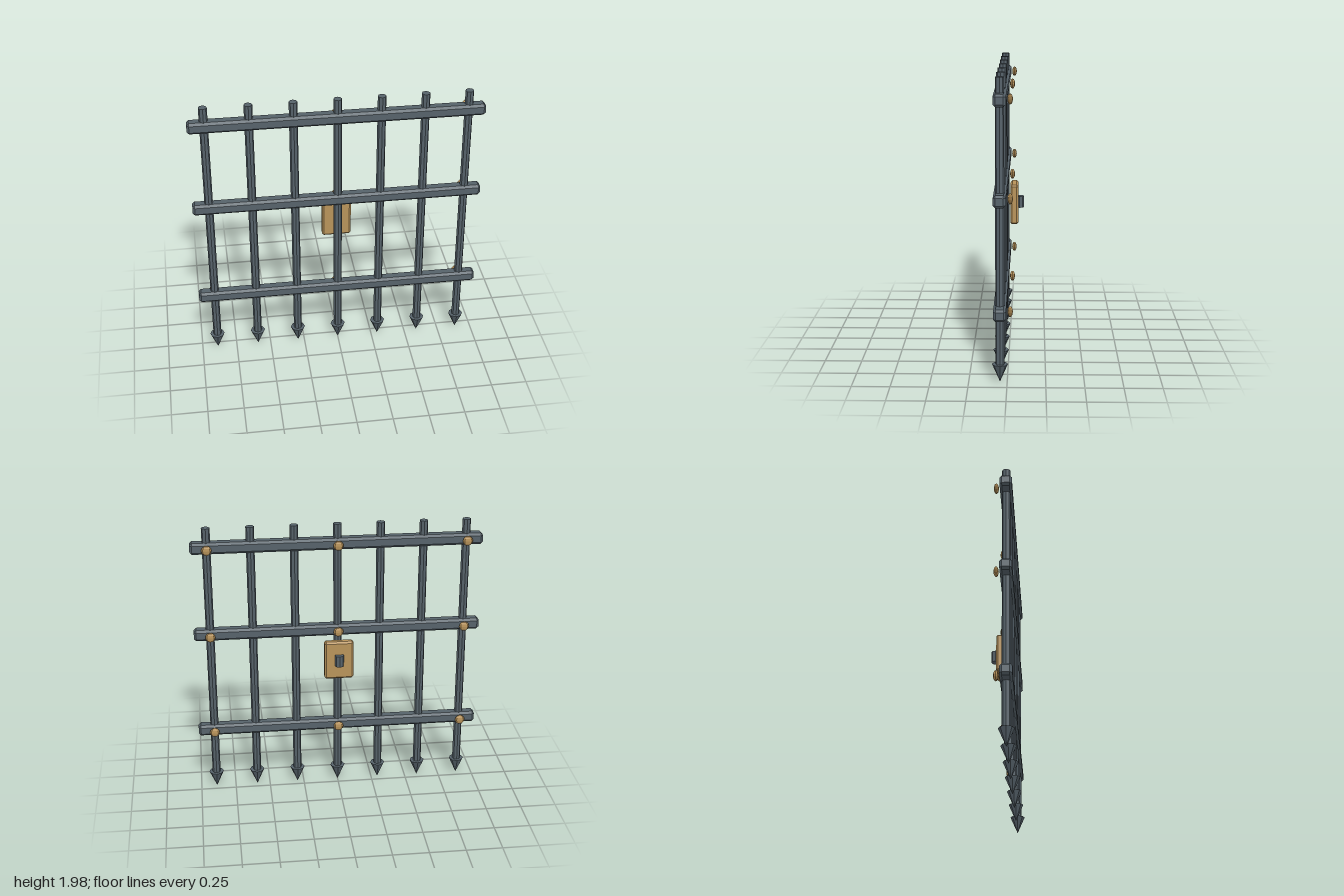
import * as THREE from 'three';
import { ConvexGeometry } from 'three/addons/geometries/ConvexGeometry.js';

const iron = new THREE.MeshStandardMaterial({ color: 0x56626a, flatShading: true });
const brass = new THREE.MeshStandardMaterial({ color: 0xb8935a, flatShading: true });

// Box with every edge cut by a flat chamfer c
function chamferBox(w, h, d, c) {
  const points = [];
  for (const x of [-w / 2, w / 2])
    for (const y of [-h / 2, h / 2])
      for (const z of [-d / 2, d / 2])
        for (let axis = 0; axis < 3; axis++) {
          const p = [x, y, z].map((v, i) => (i === axis ? v : v - Math.sign(v) * c));
          points.push(new THREE.Vector3(...p));
        }
  return new ConvexGeometry(points);
}

export function createModel() {
  const model = new THREE.Group();
  model.name = 'portcullis';

  const add = (name, geometry, material, x, y, z) => {
    const mesh = new THREE.Mesh(geometry, material);
    mesh.name = name;
    mesh.position.set(x, y, z);
    model.add(mesh);
    return mesh;
  };

  const gridZ = 0.047;
  const barTop = 1.98, spikeHeight = 0.12, spacing = 0.2957;
  const railHeights = [0.472, 1.21, 1.842];

  // Upright bars with spikes pointing down
  const barGeometry = new THREE.CylinderGeometry(0.029, 0.029, barTop - spikeHeight, 8);
  const spikeGeometry = new THREE.ConeGeometry(0.052, spikeHeight, 8).rotateX(Math.PI);
  for (let i = -3; i <= 3; i++) {
    add('bar', barGeometry, iron, i * spacing, (barTop + spikeHeight) / 2, gridZ);
    add('spike', spikeGeometry, iron, i * spacing, spikeHeight / 2, gridZ);
  }

  // Cross rails, each with three rivets on the back
  const railGeometry = chamferBox(2, 0.08, 0.082, 0.016);
  const rivetGeometry = new THREE.SphereGeometry(0.035, 8, 6).scale(1, 1, 0.5);
  for (const y of railHeights) {
    add('rail', railGeometry, iron, 0, y, gridZ);
    for (const i of [-3, 0, 3]) add('rivet', rivetGeometry, brass, i * spacing, y, -0.019);
  }

  // Lock plate and its bolt on the back
  add('lockPlate', chamferBox(0.204, 0.28, 0.056, 0.013), brass, 0, 1.008, -0.033);
  add('lockBolt', new THREE.CylinderGeometry(0.031, 0.031, 0.08, 8), iron, 0, 1.013, -0.069);

  return model;
}
